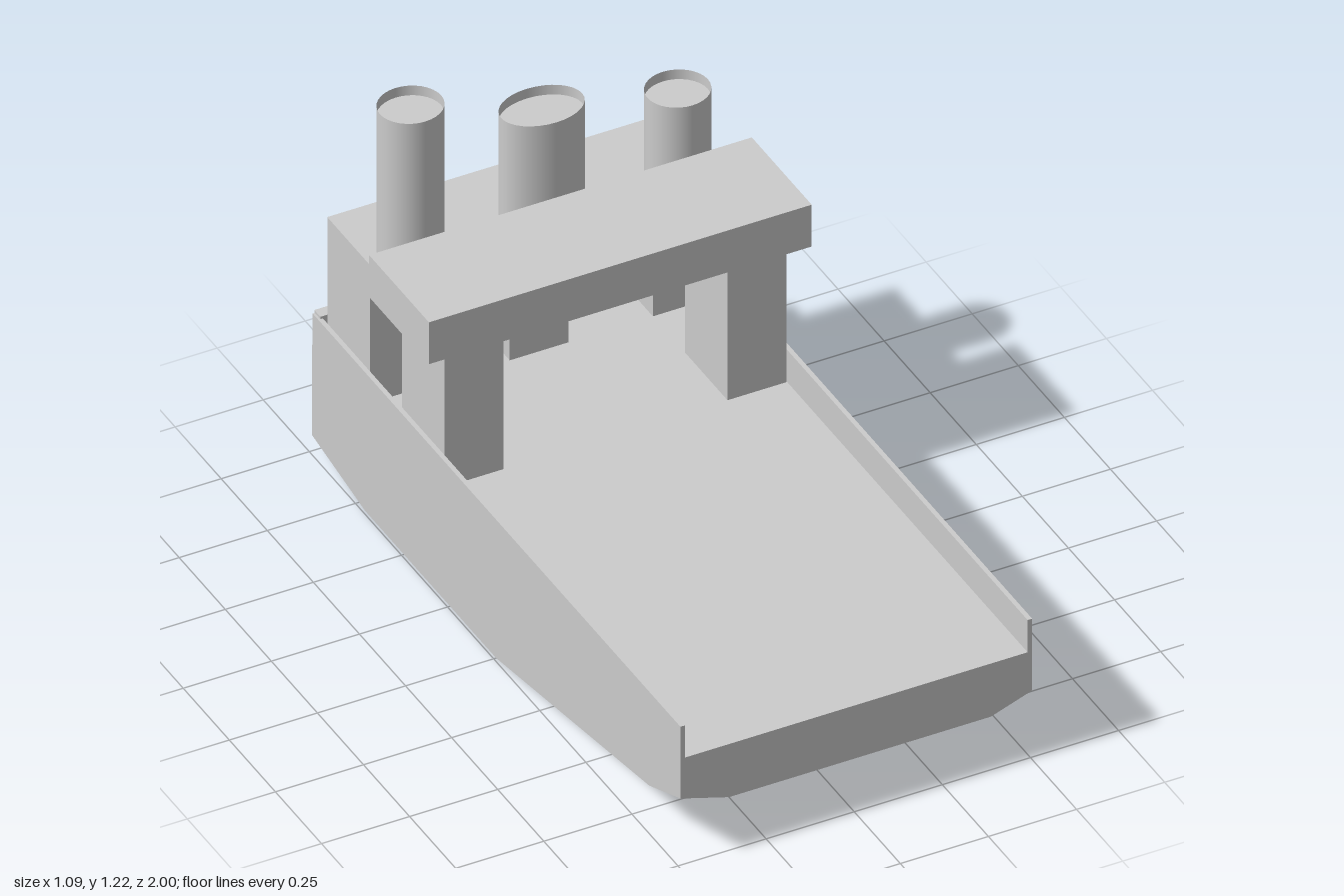
import * as THREE from 'three';
import { ConvexGeometry } from 'three/addons/geometries/ConvexGeometry.js';

const grey = new THREE.MeshStandardMaterial({ color: 0xcccccc, side: THREE.DoubleSide });
const flat = new THREE.MeshStandardMaterial({ color: 0xcccccc, flatShading: true, side: THREE.DoubleSide });

export function createModel() {
  const ship = new THREE.Group();
  ship.name = 'ship';

  const add = (name, geometry, material = flat, parent = ship) => {
    const mesh = new THREE.Mesh(geometry, material);
    mesh.name = name;
    parent.add(mesh);
    return mesh;
  };

  // Box given by its limits along each axis
  const box = (name, [x0, x1], [y0, y1], [z0, z1]) =>
    add(name, new THREE.BoxGeometry(x1 - x0, y1 - y0, z1 - z0))
      .position.set((x0 + x1) / 2, (y0 + y1) / 2, (z0 + z1) / 2);

  const left = -0.493, right = 0.505, deckY = 0.33, roofY = 0.76;

  // Hull: side profile swept across the beam, with cut lower bow corners
  const profile = [[deckY, 1], [0, 0], [0, -0.71], [0.05, -1], [deckY, -1]];
  const points = [];
  for (const x of [left, right]) {
    for (const [y, z] of profile) points.push(new THREE.Vector3(x, y, z));
    points.push(new THREE.Vector3(x, 0.207, 1));
    points.push(new THREE.Vector3(x, 0.138, 0.83));
  }
  points.push(new THREE.Vector3(-0.355, 0.165, 1), new THREE.Vector3(0.388, 0.165, 1));
  add('hull', new ConvexGeometry(points));

  // Bulwarks, open at the bow
  box('rightBulwark', [left, left + 0.013], [deckY, 0.43], [-0.995, 1]);
  box('leftBulwark', [right - 0.013, right], [deckY, 0.43], [-0.995, 1]);
  box('sternBulwark', [left + 0.006, right - 0.006], [deckY, 0.437], [-0.998, -0.965]);

  // Pillars: two under the bridge, three at the stern
  const pillarX = [[-0.48, -0.313], [-0.083, 0.084], [0.323, 0.49]];
  pillarX.forEach((xs, i) => {
    if (i !== 1) box('frontPillar', xs, [deckY, roofY], [-0.535, -0.305]);
    box('sternPillar', xs, [deckY, roofY], [-0.94, -0.71]);
  });

  // Thin roof over the stern pillars, running under the bridge
  const roof = new THREE.PlaneGeometry(0.97, 0.64).rotateX(-Math.PI / 2);
  add('roof', roof).position.set(0.005, roofY + 0.001, -0.62);

  // Bridge
  box('bridge', [-0.545, 0.541], [roofY, 0.89], [-0.59, -0.265]);

  // Funnels: open tubes with a floor just below the rim; the middle one is oval
  const funnels = [[-0.362, 0.087, 1.215], [0.01, 0.115, 1.087], [0.396, 0.086, 1.01]];
  for (const [x, radius, top] of funnels) {
    const funnel = new THREE.Group();
    funnel.name = 'funnel';
    funnel.position.set(x, 0, -0.715);
    funnel.scale.set(radius, 1, 0.081);
    const base = 0.756;
    add('funnelWall', new THREE.CylinderGeometry(1, 1, top - base, 32, 1, true), grey, funnel)
      .position.y = (top + base) / 2;
    add('funnelFloor', new THREE.CircleGeometry(1, 32).rotateX(-Math.PI / 2), grey, funnel)
      .position.y = top - 0.03;
    ship.add(funnel);
  }

  return ship;
}
